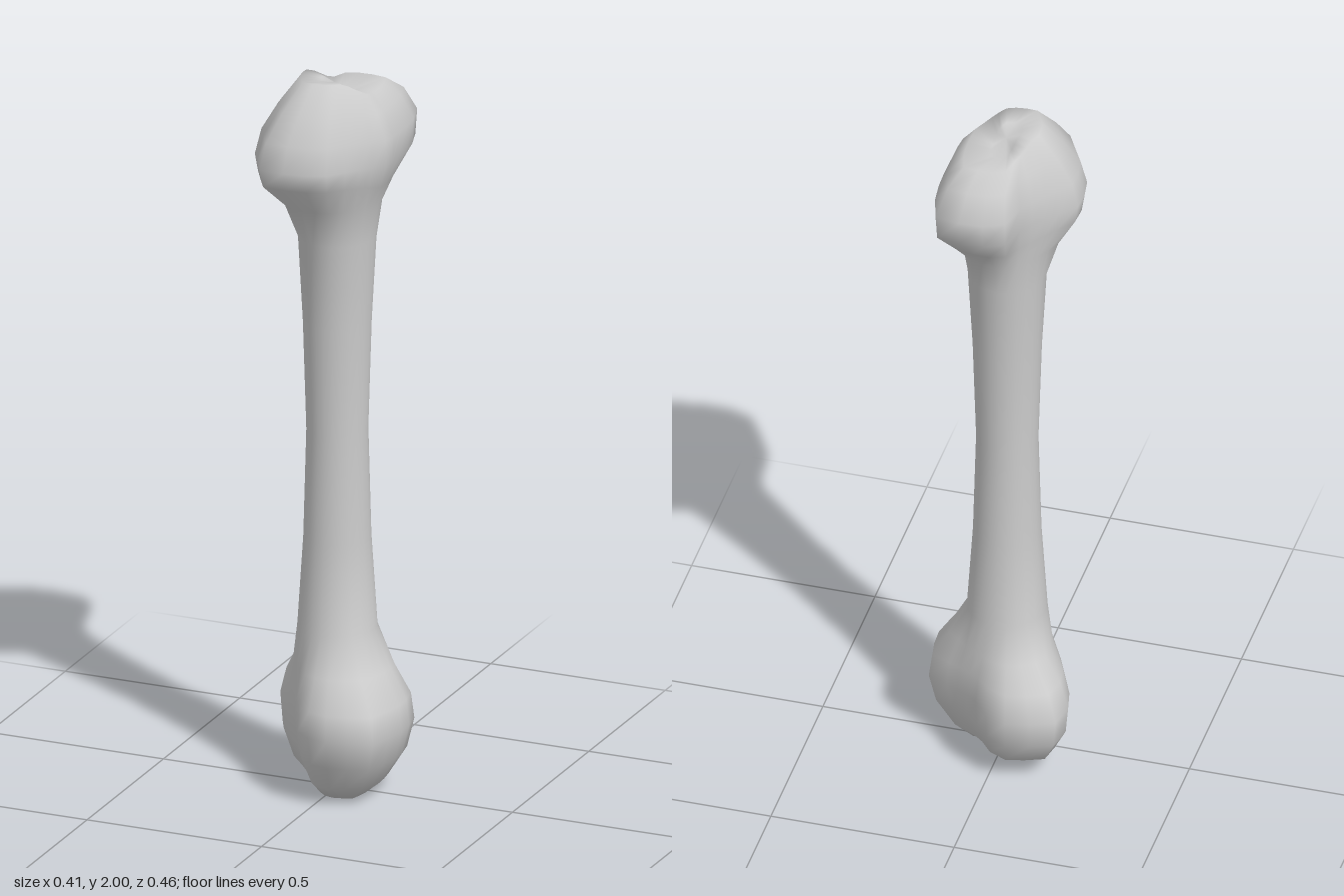
import * as THREE from 'three';

const SIDES = 24;

// Plan outlines [x, z] of the two knuckled ends, ordered by angle from +x to +z.
const LOWER = [[0.21, 0.04], [0.18, 0.175], [0.07, 0.215], [-0.03, 0.19], [-0.09, 0.08], [-0.18, -0.02],
  [-0.21, -0.15], [-0.195, -0.185], [-0.12, -0.215], [-0.03, -0.235], [0.05, -0.14], [0.14, -0.08], [0.195, -0.06]];
const UPPER = [[0.16, 0.04], [0.04, 0.21], [-0.04, 0.22], [-0.12, 0.235], [-0.19, 0.11], [-0.205, 0.01],
  [-0.15, -0.05], [-0.08, -0.12], [-0.05, -0.225], [0.04, -0.235], [0.125, -0.23], [0.145, -0.2], [0.16, -0.08]];

// Rings: [front lobe y, back lobe y, front spread, back spread, shaft radius]
const LOWER_RINGS = [
  [0.0, 0.05, 0.42, 0.5, 0],
  [0.04, 0.065, 0.65, 0.78, 0],
  [0.12, 0.14, 0.9, 0.96, 0],
  [0.2, 0.22, 1, 1, 0],
  [0.27, 0.29, 0.92, 0.75, 0.11],
  [0.35, 0.35, 0.45, 0.3, 0.11],
  [0.45, 0.45, 0, 0, 0.106],
  [0.7, 0.7, 0, 0, 0.09],
  [1.0, 1.0, 0, 0, 0.082]];
const UPPER_RINGS = [
  [1.3, 1.3, 0, 0, 0.091],
  [1.54, 1.54, 0, 0, 0.104],
  [1.65, 1.64, 0.35, 0.15, 0.108],
  [1.73, 1.7, 0.92, 0.5, 0.11],
  [1.78, 1.77, 1, 0.96, 0.11],
  [1.85, 1.84, 0.92, 1, 0],
  [1.92, 1.91, 0.72, 0.83, 0],
  [1.995, 1.95, 0.45, 0.6, 0],
  [1.985, 1.935, 0.2, 0.22, 0]];

// Distance from the axis to a closed outline in the direction of angle a.
function outlineRadius(outline, a) {
  const dx = Math.cos(a), dz = Math.sin(a);
  let best = 0;
  outline.forEach(([x0, z0], i) => {
    const [x1, z1] = outline[(i + 1) % outline.length];
    const ex = x1 - x0, ez = z1 - z0;
    const det = dx * ez - dz * ex;
    if (Math.abs(det) < 1e-9) return;
    const r = (x0 * ez - z0 * ex) / det;
    const t = (x0 * dz - z0 * dx) / det;
    if (r > 0 && t >= -1e-6 && t <= 1 + 1e-6) best = Math.max(best, r);
  });
  return best;
}

// One ring, blending the front lobe into the back lobe around the axis.
function addRing(positions, [yF, yB, sF, sB, core], outline, frontAngle) {
  const { lerp, smoothstep } = THREE.MathUtils;
  for (let j = 0; j < SIDES; j++) {
    const a = (j / SIDES) * Math.PI * 2;
    const front = smoothstep(Math.cos(a - frontAngle), -0.7, 0.7);
    const spread = lerp(sB, sF, front);
    const r = lerp(core, outlineRadius(outline, a), spread);
    const shift = core > 0 ? 1 - spread : 0;
    positions.push(
      r * Math.cos(a) - 0.006 * shift,
      lerp(yB, yF, front),
      r * Math.sin(a) - 0.01 * shift);
  }
}

function boneGeometry() {
  const positions = [];
  const index = [];
  LOWER_RINGS.forEach((ring) => addRing(positions, ring, LOWER, Math.atan2(0.76, 0.65)));
  UPPER_RINGS.forEach((ring) => addRing(positions, ring, UPPER, Math.atan2(0.86, -0.5)));
  const rows = LOWER_RINGS.length + UPPER_RINGS.length;
  const bottom = rows * SIDES, top = bottom + 1;
  positions.push(0, 0.045, 0, 0, 1.965, 0);

  for (let j = 0; j < SIDES; j++) {
    const k = (j + 1) % SIDES;
    // Side walls
    for (let i = 0; i < rows - 1; i++) {
      const a = i * SIDES + j, b = i * SIDES + k;
      index.push(a, a + SIDES, b, b, a + SIDES, b + SIDES);
    }
    // End caps
    const last = (rows - 1) * SIDES;
    index.push(bottom, j, k, top, last + k, last + j);
  }
  const geometry = new THREE.BufferGeometry();
  geometry.setAttribute('position', new THREE.Float32BufferAttribute(positions, 3));
  geometry.setIndex(index);
  geometry.computeVertexNormals();
  return geometry;
}

export function createModel() {
  const group = new THREE.Group();
  group.name = 'longBone';
  const bone = new THREE.Mesh(boneGeometry(), new THREE.MeshStandardMaterial({ color: 0xcccccc }));
  bone.name = 'boneShaftAndKnuckles';
  group.add(bone);
  return group;
}
